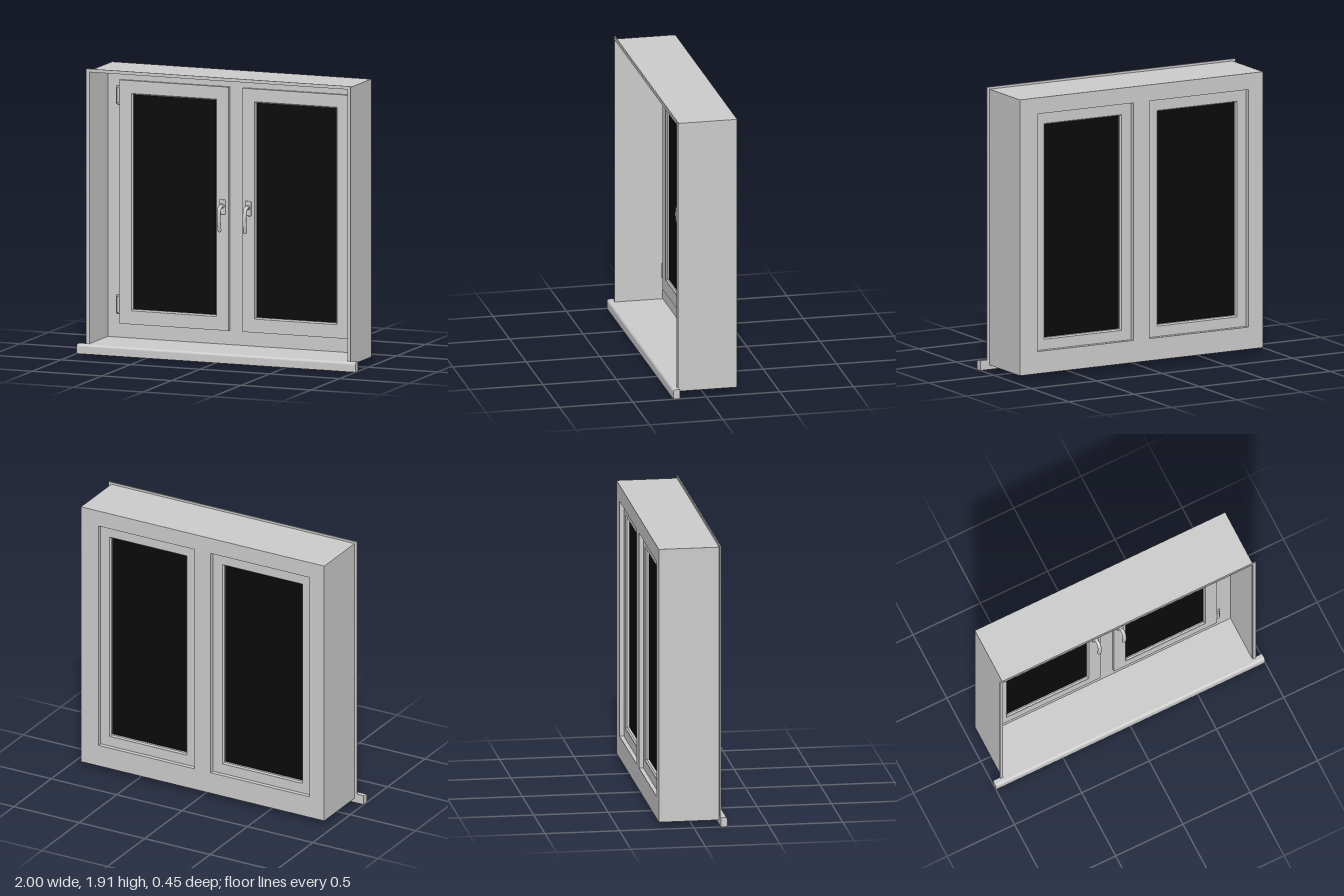
import * as THREE from 'three';
import { RoundedBoxGeometry } from 'three/addons/geometries/RoundedBoxGeometry.js';

const grey = new THREE.MeshStandardMaterial({ color: 0xcccccc });
const black = new THREE.MeshStandardMaterial({ color: 0x0a0a0a });

function add(parent, name, geometry, material = grey) {
  const mesh = new THREE.Mesh(geometry, material);
  mesh.name = name;
  parent.add(mesh);
  return mesh;
}

// Box given by its limits on each axis
function box(parent, name, [x0, x1], [y0, y1], [z0, z1], material) {
  const mesh = add(parent, name, new THREE.BoxGeometry(x1 - x0, y1 - y0, z1 - z0), material);
  mesh.position.set((x0 + x1) / 2, (y0 + y1) / 2, (z0 + z1) / 2);
  return mesh;
}

// Rectangles are [x0, x1, y0, y1]
const grow = ([x0, x1, y0, y1], d) => [x0 - d, x1 + d, y0 - d, y1 + d];
function trace(path, [x0, x1, y0, y1]) {
  path.moveTo(x0, y0);
  path.lineTo(x1, y0);
  path.lineTo(x1, y1);
  path.lineTo(x0, y1);
  path.closePath();
  return path;
}

// Flat rectangular frame with rectangular openings, optionally bevelled
function frame(parent, name, outer, holes, z0, z1, bevel = 0) {
  const shape = trace(new THREE.Shape(), outer);
  for (const h of holes) shape.holes.push(trace(new THREE.Path(), h));
  const geometry = new THREE.ExtrudeGeometry(shape, {
    depth: z1 - z0 - 2 * bevel, bevelEnabled: bevel > 0, bevelSegments: 1,
    bevelSize: bevel, bevelThickness: bevel, bevelOffset: -bevel,
  });
  geometry.translate(0, 0, z0 + bevel);
  return add(parent, name, geometry);
}

const BACK = -0.225, FRAME_FRONT = -0.138, SASH_FRONT = -0.118;

function makeHandle(x) {
  const handle = new THREE.Group();
  handle.name = 'handle';
  handle.position.set(x, 0, SASH_FRONT);
  const rosette = add(handle, 'handleRosette', new RoundedBoxGeometry(0.044, 0.1, 0.016, 4, 0.007));
  rosette.position.set(0, 0.992, 0.006);
  const collar = add(handle, 'handleCollar', new THREE.CylinderGeometry(0.015, 0.017, 0.02, 24));
  collar.rotation.x = Math.PI / 2;
  collar.position.set(0, 1.0, 0.02);
  // Neck comes forward, then bends down into the grip
  const path = new THREE.CatmullRomCurve3([
    [1.0, 0.01], [1.0, 0.042], [0.987, 0.061], [0.945, 0.07], [0.885, 0.068], [0.842, 0.058],
  ].map(([y, z]) => new THREE.Vector3(0, y, z)));
  add(handle, 'handleGrip', new THREE.TubeGeometry(path, 32, 0.0125, 16));
  const tip = add(handle, 'handleTip', new THREE.SphereGeometry(0.0125, 16, 12));
  tip.position.set(0, 0.842, 0.058);
  return handle;
}

function makeHinge(x, y, side) {
  const hinge = new THREE.Group();
  hinge.name = 'hinge';
  hinge.position.set(x, y, FRAME_FRONT);
  const leaf = add(hinge, 'hingeLeaf', new RoundedBoxGeometry(0.028, 0.125, 0.014, 3, 0.005));
  leaf.position.set(side * 0.015, 0, 0.005);
  const barrel = add(hinge, 'hingeBarrel', new THREE.CylinderGeometry(0.009, 0.009, 0.105, 20));
  barrel.position.set(side * 0.011, 0, 0.015);
  return hinge;
}

export function createModel() {
  const model = new THREE.Group();
  model.name = 'window';

  // Thin lining around the wall opening, and the trim at its front edge
  for (const s of [-1, 1]) {
    const span = (a, b) => [Math.min(s * a, s * b), Math.max(s * a, s * b)];
    box(model, 'sideLining', span(0.925, 0.93), [0.03, 1.9], [BACK, 0.182]);
    box(model, 'sideTrim', span(0.928, 0.95), [0.05, 1.915], [0.18, 0.188]);
  }
  box(model, 'topLining', [-0.925, 0.925], [1.895, 1.9], [BACK, 0.182]);
  box(model, 'topTrim', [-0.928, 0.928], [1.893, 1.915], [0.18, 0.188]);

  // Sill board with a rounded front nosing
  box(model, 'sillBoard', [-0.925, 0.925], [0.03, 0.065], [BACK, 0.2]);
  const nose = new THREE.Shape();
  nose.moveTo(0.18, 0);
  nose.lineTo(0.225, 0);
  nose.lineTo(0.225, 0.047);
  nose.absarc(0.207, 0.047, 0.018, 0, Math.PI / 2, false);
  nose.lineTo(0.18, 0.065);
  nose.closePath();
  const noseGeometry = new THREE.ExtrudeGeometry(nose, { depth: 2, bevelEnabled: false, curveSegments: 8 });
  noseGeometry.rotateY(-Math.PI / 2);
  noseGeometry.translate(1, 0, 0);
  add(model, 'sillNosing', noseGeometry);

  // Fixed frame with a centre post between two openings
  const sashes = [
    { side: -1, hole: [-0.818, -0.062, 0.18, 1.79], face: [-0.835, -0.05, 0.16, 1.8], pane: [-0.74, -0.145, 0.26, 1.705] },
    { side: 1, hole: [0.062, 0.797, 0.18, 1.79], face: [0.05, 0.815, 0.16, 1.8], pane: [0.145, 0.72, 0.26, 1.705] },
  ];
  frame(model, 'fixedFrame', [-0.925, 0.925, 0.065, 1.895], sashes.map((s) => s.hole), BACK, FRAME_FRONT);

  // Two hinged sashes
  for (const { side, hole, face, pane } of sashes) {
    const sash = new THREE.Group();
    sash.name = side < 0 ? 'rightSash' : 'leftSash';
    const opening = grow(pane, 0.009);
    frame(sash, 'sashBody', grow(hole, -0.001), [opening], -0.197, FRAME_FRONT);
    frame(sash, 'sashFace', face, [opening], FRAME_FRONT, SASH_FRONT);
    frame(sash, 'glazingBead', grow(pane, 0.02), [pane], -0.195, -0.121, 0.009);
    const [x0, x1, y0, y1] = grow(pane, 0.003);
    box(sash, 'glass', [x0, x1], [y0, y1], [-0.17, -0.138], black);
    sash.add(makeHandle(side * 0.092));
    const hingeX = side < 0 ? face[0] : face[1];
    for (const y of [0.288, 1.695]) sash.add(makeHinge(hingeX, y, side));
    model.add(sash);
  }
  return model;
}
